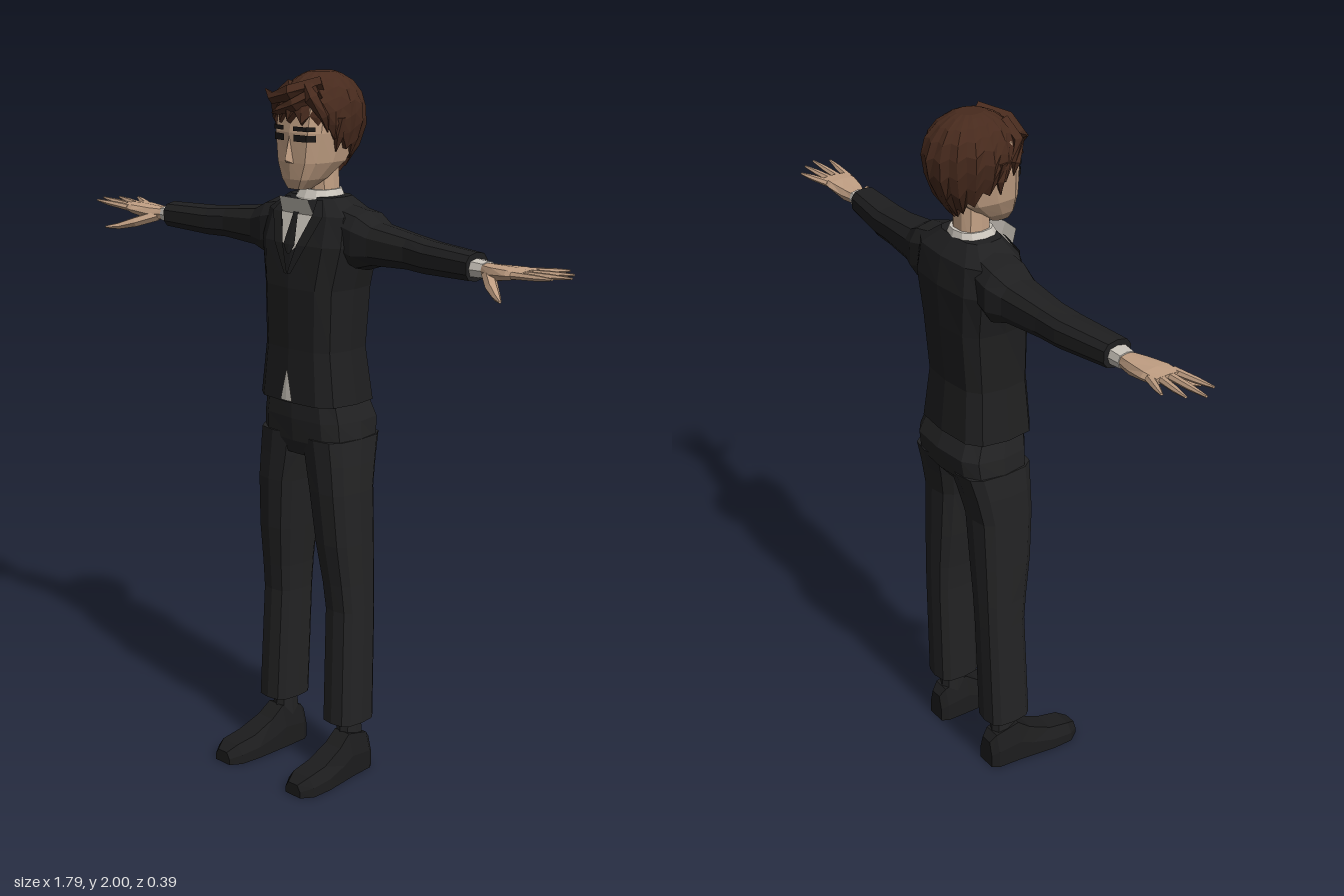
import * as THREE from 'three';

const mat = (name, color, side = THREE.FrontSide) =>
  Object.assign(new THREE.MeshStandardMaterial({ color, side }), { name });

// Faceted geometry from a flat list of corner points; solids are turned outwards.
function facets(tris, solid) {
  const v = new THREE.Vector3();
  let volume = 0;
  for (const [a, b, c] of tris) volume += a.dot(v.crossVectors(b, c));
  const pts = tris.flatMap(([a, b, c]) => (solid && volume < 0 ? [a, c, b] : [a, b, c]));
  const g = new THREE.BufferGeometry().setFromPoints(pts);
  g.computeVertexNormals();
  return g;
}

// Joins rows of points; closed rows make a capped solid, open rows a thin sheet.
function skin(rows, closed) {
  const tris = [], n = rows[0].length;
  for (let i = 0; i + 1 < rows.length; i++) {
    for (let j = 0; j < (closed ? n : n - 1); j++) {
      const k = (j + 1) % n, p = rows[i], q = rows[i + 1];
      tris.push([p[j], p[k], q[k]], [p[j], q[k], q[j]]);
    }
  }
  if (closed) {
    for (const [ring, flip] of [[rows[0], true], [rows[rows.length - 1], false]]) {
      const mid = ring.reduce((s, p) => s.add(p), new THREE.Vector3()).divideScalar(n);
      ring.forEach((p, j) => {
        const q = ring[(j + 1) % n];
        tris.push(flip ? [mid, q, p] : [mid, p, q]);
      });
    }
  }
  return facets(tris, closed);
}

const V = (x, y, z) => new THREE.Vector3(x, y, z);
const soft = (v, p) => Math.sign(v) * Math.abs(v) ** p;

// Rounded-box outline in two coordinates
function outline(a0, a1, b0, b1, n = 12, p = 0.6) {
  return Array.from({ length: n }, (_, i) => {
    const t = (i / n) * Math.PI * 2;
    return [(a0 + a1) / 2 + soft(Math.cos(t), p) * (a1 - a0) / 2,
      (b0 + b1) / 2 + soft(Math.sin(t), p) * (b1 - b0) / 2];
  });
}
// Sections [y, x0, x1, zFront, zBack] stacked upwards
const stack = (secs, n, p) => skin(secs.map(([y, x0, x1, zf, zb]) =>
  outline(x0, x1, zb, zf, n, p).map(([x, z]) => V(x, y, z))), true);
const centred = (secs, n, p) => stack(secs.map(([y, w, zf, zb]) => [y, -w, w, zf, zb]), n, p);
// Sections [x, y0, y1, z0, z1] along an arm
const along = (secs, s, n, p) => skin(secs.map(([x, y0, y1, z0, z1]) =>
  outline(y0, y1, z0, z1, n, p).map(([y, z]) => V(s * x, y, z))), true);

// Tapered strand through points [x, y, z, radius]
function strand(path, n = 5, flat = 1) {
  const pts = path.map(([x, y, z]) => V(x, y, z));
  return skin(pts.map((c, i) => {
    const d = pts[Math.min(i + 1, pts.length - 1)].clone().sub(pts[Math.max(i - 1, 0)]).normalize();
    const u = V(0, 1, 0).cross(d).normalize(), w = d.clone().cross(u);
    return Array.from({ length: n }, (_, j) => {
      const t = (j / n) * Math.PI * 2;
      return c.clone().addScaledVector(u, Math.cos(t) * path[i][3])
        .addScaledVector(w, Math.sin(t) * path[i][3] * flat);
    });
  }), true);
}

// Jacket body sections: y, half width, front z, back z
const TORSO = [[1.1, 0.155, 0.075, -0.16], [1.25, 0.135, 0.068, -0.145], [1.42, 0.14, 0.07, -0.16],
  [1.54, 0.165, 0.058, -0.167], [1.62, 0.155, 0.032, -0.155], [1.665, 0.09, 0, -0.115]];
function chestZ(y) {
  const i = Math.max(0, Math.min(TORSO.length - 2, TORSO.findIndex(r => r[0] > y) - 1));
  const [a, b] = [TORSO[i], TORSO[i + 1]];
  return a[2] + (b[2] - a[2]) * (y - a[0]) / (b[0] - a[0]);
}
// Thin sheet lying on the chest, rows of [y, x...]
const chestSheet = (rows, lift) => skin(rows.map(([y, ...xs]) =>
  xs.map(x => V(x, y, chestZ(y) - 0.08 * Math.abs(x) + lift))), false);

export function createModel() {
  const root = new THREE.Group();
  root.name = 'manInSuit';
  const D = THREE.DoubleSide;
  const suit = mat('jacket black', 0x1f1f20, D), cloth = mat('trouser black', 0x232324);
  const leather = mat('shoe black', 0x1c1c1d), flesh = mat('skin', 0xc2a084, D);
  const white = mat('shirt white', 0xcbc5bc, D), brown = mat('hair brown', 0x472a1d, D);
  const dark = mat('eye dark', 0x1b1817, D);
  const add = (name, geometry, material) => {
    const m = new THREE.Mesh(geometry, material);
    m.name = name;
    root.add(m);
  };

  // Jacket, shirt front and tie
  add('jacket', centred(TORSO), suit);
  add('shirtFront', chestSheet([[1.665, -0.055, 0, 0.055], [1.62, -0.062, 0, 0.062],
    [1.54, -0.03, 0, 0.03], [1.525, -0.012, 0, 0.012]], 0.004), white);
  add('tie', chestSheet([[1.648, -0.015, 0, 0.015], [1.62, -0.009, 0, 0.009],
    [1.54, -0.021, 0, 0.021], [1.515, -0.006, 0, 0.006]], 0.009), suit);
  add('shirtTail', chestSheet([[1.19, -0.002, 0, 0.002], [1.15, -0.012, 0, 0.012],
    [1.105, -0.022, 0, 0.022]], 0.004), white);
  add('collar', centred([[1.63, 0.075, 0.012, -0.12], [1.66, 0.066, 0.008, -0.118],
    [1.682, 0.054, -0.004, -0.112]], 12, 0.8), white);

  // Trouser seat
  add('trouserSeat', centred([[0.945, 0.13, 0.04, -0.13], [0.985, 0.162, 0.052, -0.165],
    [1.05, 0.157, 0.057, -0.174], [1.13, 0.14, 0.055, -0.14]]), cloth);

  // Neck and head
  add('neck', centred([[1.63, 0.052, -0.015, -0.105], [1.75, 0.047, -0.01, -0.1]], 10, 0.8), flesh);
  add('head', centred([[1.688, 0.03, 0.052, -0.005], [1.715, 0.054, 0.06, -0.05],
    [1.76, 0.078, 0.063, -0.11], [1.84, 0.092, 0.063, -0.155], [1.92, 0.09, 0.048, -0.16],
    [1.97, 0.05, 0, -0.12]]), flesh);
  const bridge = V(0, 1.835, 0.062), tip = V(0, 1.768, 0.08), nl = V(0.015, 1.758, 0.06), nr = V(-0.015, 1.758, 0.06);
  add('nose', facets([[bridge, tip, nl], [bridge, nr, tip], [tip, nr, nl]], false), flesh);

  // Hair cap: ridged locks, longer towards the nape
  const N = 32, STEPS = 7, rows = [];
  for (let i = 0; i <= STEPS; i++) {
    rows.push(Array.from({ length: N }, (_, j) => {
      const a = (j / N) * Math.PI * 2;
      const back = (1 - Math.cos(a)) / 2;
      const hem = 1.885 - 0.155 * back + (j % 2 ? 0.014 : -0.014);
      const t = Math.sin((i / STEPS) * Math.PI / 2);
      const y = hem + (1.995 - hem) * t;
      let r = y > 1.885 ? Math.sqrt(Math.max(0.02, 1 - ((y - 1.885) / 0.115) ** 2))
        : 1 - 0.6 * ((1.885 - y) / 0.165) ** 2;
      r *= 1 + (j % 2 ? -0.025 : 0.02) + 0.02 * Math.sin(a * 5 + i * 1.7);
      return V(Math.sin(a) * 0.11 * r, y, -0.06 + Math.cos(a) * 0.13 * r);
    }));
  }
  add('hair', skin(rows, true), brown);
  // Swept fringe locks and sideburns
  [[[0.06, 1.97, 0.0, 0.02], [0.0, 1.945, 0.06, 0.022], [-0.07, 1.925, 0.055, 0.016], [-0.12, 1.945, 0.035, 0.002]],
    [[0.07, 1.95, 0.02, 0.02], [0.02, 1.915, 0.063, 0.018], [-0.04, 1.895, 0.064, 0.012], [-0.085, 1.885, 0.045, 0.002]],
    [[0.03, 1.965, 0.02, 0.02], [0.07, 1.93, 0.045, 0.02], [0.095, 1.885, 0.025, 0.014], [0.098, 1.845, 0.015, 0.002]],
    [[-0.03, 1.96, 0.02, 0.02], [-0.08, 1.92, 0.035, 0.018], [-0.098, 1.87, 0.015, 0.012], [-0.095, 1.835, 0.01, 0.002]],
  ].forEach(p => add('fringeLock', strand(p), brown));

  for (const s of [1, -1]) {
    const side = s > 0 ? 'left' : 'right';
    const faceBand = (y0, y1, lift) => skin([y0, y1].map(y =>
      [[0.018, 0.061], [0.06, 0.055], [0.077, 0.035]].map(([x, z]) => V(s * x, y, z + lift))), false);
    add(side + 'Eye', faceBand(1.818, 1.836, 0.004), dark);
    add(side + 'Brow', faceBand(1.846, 1.858, 0.005), dark);
    add(side + 'Sideburn', strand([[s * 0.094, 1.88, -0.03, 0.02], [s * 0.092, 1.83, -0.03, 0.015],
      [s * 0.088, 1.79, -0.025, 0.002]]), brown);

    // Lapel
    add(side + 'Lapel', chestSheet([[1.66, s * 0.05, s * 0.07], [1.62, s * 0.058, s * 0.095],
      [1.54, s * 0.026, s * 0.06], [1.46, 0, s * 0.012]], 0.008), suit);

    // Sleeve, cuff and hand
    add(side + 'Sleeve', along([[0.1, 1.5, 1.65, -0.135, 0.01], [0.175, 1.475, 1.637, -0.14, 0.012],
      [0.225, 1.492, 1.61, -0.122, 0.002], [0.35, 1.5, 1.594, -0.106, -0.006],
      [0.42, 1.499, 1.587, -0.1, 0.002], [0.585, 1.507, 1.582, -0.072, 0.014]], s, 10, 0.75), suit);
    add(side + 'Cuff', along([[0.57, 1.516, 1.568, -0.06, 0.004], [0.622, 1.52, 1.564, -0.056, -0.002]], s, 8, 0.7), white);
    add(side + 'Palm', along([[0.61, 1.524, 1.56, -0.052, -0.006], [0.66, 1.52, 1.562, -0.06, 0.015],
      [0.72, 1.532, 1.564, -0.068, 0.03], [0.765, 1.542, 1.562, -0.064, 0.026]], s, 8, 0.7), flesh);
    [[-0.055, 0.83, -0.093], [-0.032, 0.872, -0.055], [-0.007, 0.897, -0.014], [0.017, 0.872, 0.03]]
      .forEach(([z, x, tz]) => add(side + 'Finger', strand([[s * 0.74, 1.551, z, 0.013],
        [s * (0.4 * 0.74 + 0.6 * x), 1.556, 0.4 * z + 0.6 * tz, 0.01], [s * x, 1.56, tz, 0.004]], 6, 0.8), flesh));
    add(side + 'Thumb', strand([[s * 0.64, 1.535, -0.01, 0.018], [s * 0.69, 1.515, 0.035, 0.017],
      [s * 0.73, 1.502, 0.065, 0.011], [s * 0.762, 1.498, 0.09, 0.004]], 6, 0.9), flesh);

    // Trouser leg, sock and shoe
    const leg = [[0.16, 0.075, 0.19, 0.03, -0.11], [0.5, 0.07, 0.183, 0.016, -0.12],
      [0.58, 0.064, 0.181, 0.024, -0.122], [0.7, 0.048, 0.179, 0.04, -0.125], [0.85, 0.03, 0.174, 0.05, -0.128],
      [0.93, 0.012, 0.169, 0.051, -0.145], [1.0, 0, 0.162, 0.053, -0.165]];
    add(side + 'TrouserLeg', stack(leg.map(([y, a, b, f, k]) => [y, s * a, s * b, f, k]), 12, 0.65), cloth);
    add(side + 'Sock', stack([[0.08, s * 0.102, s * 0.164, -0.005, -0.085],
      [0.19, s * 0.104, s * 0.16, -0.01, -0.078]], 8, 0.8), cloth);
    const shoe = [[-0.105, 0.135, 0.03, 0.085], [-0.085, 0.136, 0.043, 0.108], [-0.01, 0.138, 0.047, 0.126],
      [0.03, 0.141, 0.05, 0.095], [0.1, 0.146, 0.055, 0.065], [0.165, 0.149, 0.052, 0.054], [0.198, 0.148, 0.03, 0.036]];
    add(side + 'Shoe', skin(shoe.map(([z, x, w, h]) => [[-1, 0], [1, 0], [0.97, 0.5], [0.6, 1], [-0.6, 1], [-0.97, 0.5]]
      .map(([u, v]) => V(s * (x + u * w), v * h, z))), true), leather);
  }
  return root;
}
